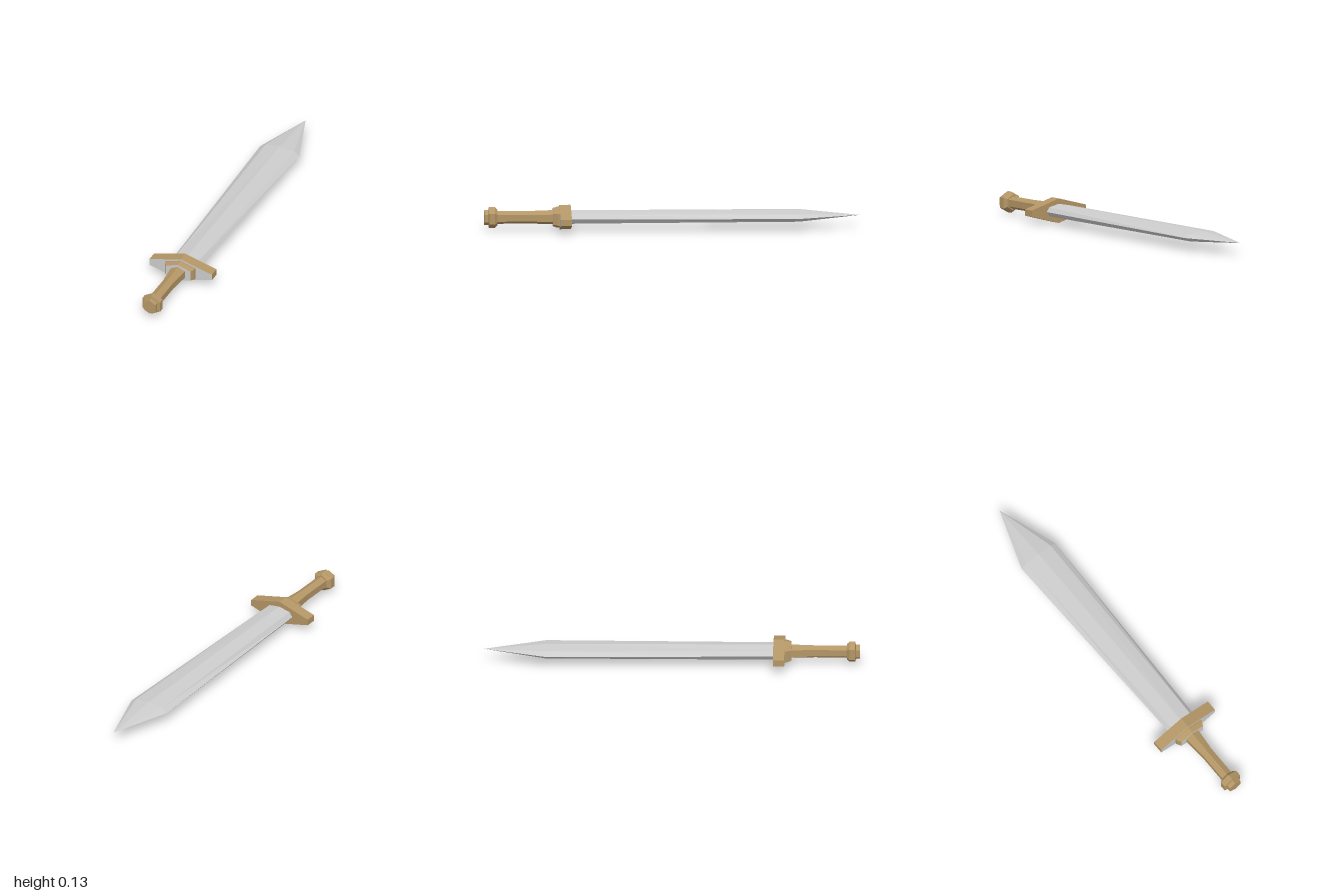
import * as THREE from 'three';

const CY = 0.067; // height of the sword's long axis

// Pointed hexagon, counter-clockwise seen from the front:
// half width w, half height h at the middle, half height s at the sides
const hex = (z, w, h, s) =>
  [[w, -s], [w, s], [0, h], [-w, s], [-w, -s], [0, -h]].map(([x, y]) => new THREE.Vector3(x, y + CY, z));

// Blade section: sharp edges at +-w, shoulders at +-b, shallow ridge in the middle
const bladeRing = (z, w, b, s, h) =>
  [[w, 0], [b, s], [0, h], [-b, s], [-w, 0], [-b, -s], [0, -h], [b, -s]]
    .map(([x, y]) => new THREE.Vector3(x, y + CY, z));

function meshFromTriangles(name, tris, material) {
  const solid = tris.filter((t) => new THREE.Triangle(...t).getArea() > 1e-9);
  const geometry = new THREE.BufferGeometry().setFromPoints(solid.flat());
  geometry.computeVertexNormals();
  const mesh = new THREE.Mesh(geometry, material);
  mesh.name = name;
  return mesh;
}

const fan = (ring) => ring.slice(2).map((p, i) => [ring[0], ring[i + 1], p]);

// Skin through rings ordered from front (+z) to back, with end caps
function loft(name, rings, material, frontCap = true) {
  const tris = [];
  for (let k = 0; k < rings.length - 1; k++) {
    const near = rings[k], far = rings[k + 1], n = near.length;
    for (let i = 0; i < n; i++) {
      const j = (i + 1) % n;
      tris.push([near[i], far[i], near[j]], [near[j], far[i], far[j]]);
    }
  }
  if (frontCap) tris.push(...fan(rings[0]));
  tris.push(...fan([...rings[rings.length - 1]].reverse()));
  return meshFromTriangles(name, tris, material);
}

export function createModel() {
  const steel = new THREE.MeshStandardMaterial({ color: 0xcccccc, flatShading: true });
  const bronze = new THREE.MeshStandardMaterial({ color: 0xb49666, flatShading: true });
  const group = new THREE.Group();
  group.name = 'sword';

  // Blade widens toward the point, then tapers
  group.add(loft('blade', [
    bladeRing(0.56, 0.083, 0.064, 0.025, 0.037),
    bladeRing(-0.67, 0.115, 0.083, 0.02, 0.031),
    bladeRing(-1, 0, 0, 0, 0),
  ], steel));

  // Guard and collar have bronze sides and grey front faces
  const guardFront = hex(0.6, 0.183, 0.066, 0.017);
  const collarFront = hex(0.635, 0.073, 0.05, 0.028);
  group.add(
    loft('guard', [guardFront, hex(0.54, 0.183, 0.066, 0.017)], bronze, false),
    meshFromTriangles('guardFace', fan(guardFront), steel),
    loft('collar', [collarFront, hex(0.61, 0.087, 0.057, 0.032), hex(0.595, 0.087, 0.057, 0.032)], bronze, false),
    meshFromTriangles('collarFace', fan(collarFront), steel),
  );

  // Grip flares where it meets the collar
  group.add(loft('grip', [
    hex(0.95, 0.03, 0.034, 0.018),
    hex(0.76, 0.03, 0.034, 0.018),
    hex(0.63, 0.041, 0.038, 0.02),
  ], bronze));

  // Pommel with chamfered ends
  group.add(loft('pommel', [
    hex(1, 0.035, 0.04, 0.021),
    hex(0.978, 0.036, 0.041, 0.021),
    hex(0.975, 0.052, 0.057, 0.029),
    hex(0.944, 0.052, 0.057, 0.029),
    hex(0.93, 0.037, 0.042, 0.021),
  ], bronze));

  return group;
}
